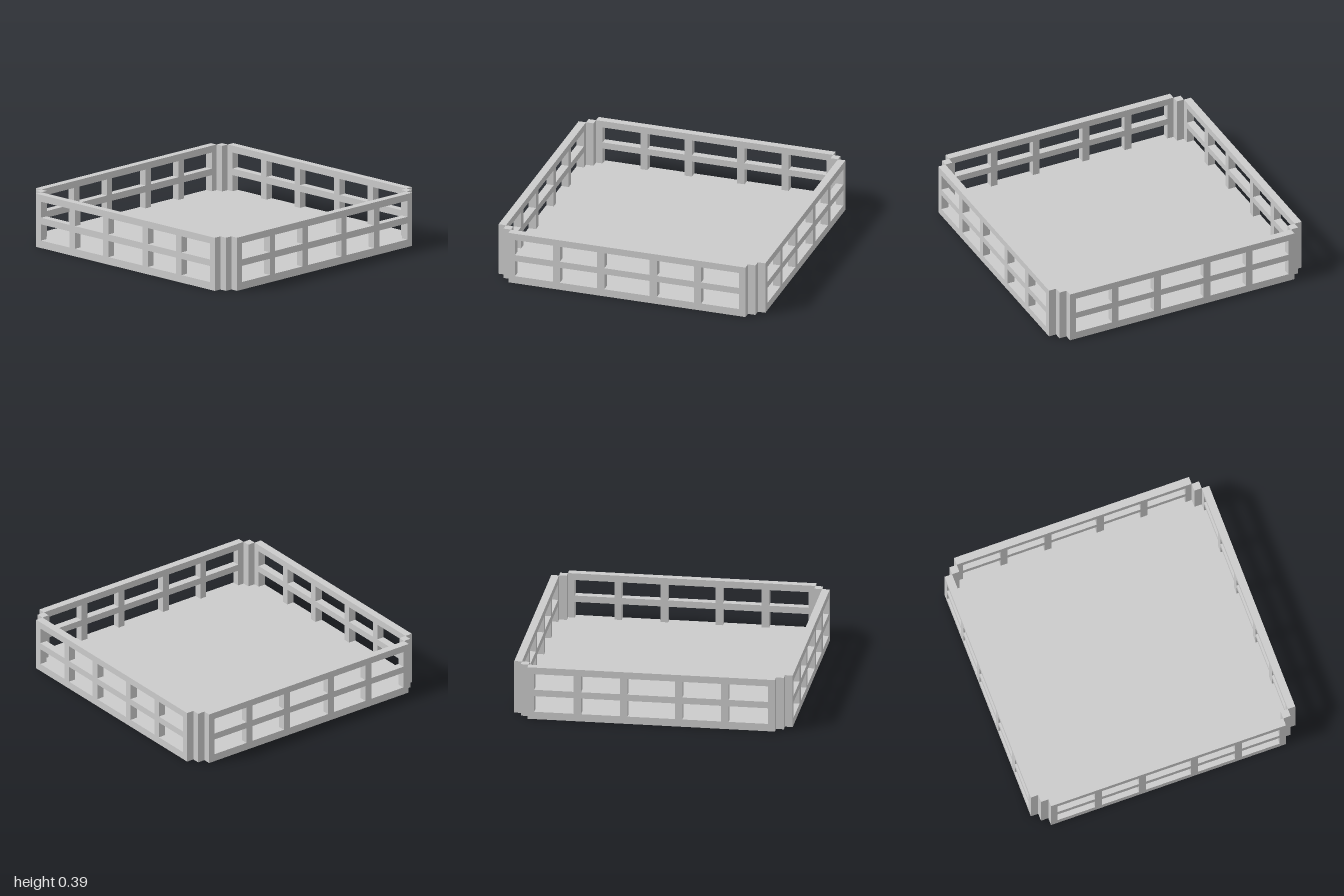
import * as THREE from 'three';

const HEIGHT = 0.39;
const T = 0.0556;          // thickness of walls, floor and corner posts
const HALF = 1 - 2 * T;    // half length of a wall
const INNER = 1 - T;       // inner face of a wall

function rect(target, x0, y0, x1, y1) {
  target.moveTo(x0, y0);
  target.lineTo(x1, y0);
  target.lineTo(x1, y1);
  target.lineTo(x0, y1);
  target.closePath();
  return target;
}

// Flat wall panel with two rows of five openings
function wallGeometry() {
  const shape = rect(new THREE.Shape(), -HALF, 0, HALF, HEIGHT);
  const columns = [[-0.84, -0.556], [-0.503, -0.224], [-0.17, 0.17], [0.224, 0.503], [0.556, 0.84]];
  const rows = [[T, 0.174], [0.222, 0.34]];
  for (const [x0, x1] of columns) {
    for (const [y0, y1] of rows) shape.holes.push(rect(new THREE.Path(), x0, y0, x1, y1));
  }
  return new THREE.ExtrudeGeometry(shape, { depth: T, bevelEnabled: false }).translate(0, 0, INNER);
}

export function createModel() {
  const group = new THREE.Group();
  const material = new THREE.MeshStandardMaterial({ color: 0xcccccc, flatShading: true });
  const add = (name, geometry) => {
    const mesh = new THREE.Mesh(geometry, material);
    mesh.name = name;
    group.add(mesh);
    return mesh;
  };

  // Floor slab, flush with the bottom of the openings
  add('floor', new THREE.BoxGeometry(2 * INNER, T, 2 * INNER).translate(0, T / 2, 0));

  // Four identical walls turned around the centre
  const wall = wallGeometry();
  ['frontWall', 'leftWall', 'backWall', 'rightWall'].forEach((name, i) => {
    add(name, wall).rotation.y = i * Math.PI / 2;
  });

  // Square corner posts standing on the floor, joining the walls edge to edge
  const post = new THREE.BoxGeometry(T, HEIGHT - T, T);
  for (const [sx, side] of [[1, 'Left'], [-1, 'Right']]) {
    for (const [sz, end] of [[1, 'front'], [-1, 'back']]) {
      const c = INNER - T / 2;
      add(`${end}${side}CornerPost`, post).position.set(sx * c, (HEIGHT + T) / 2, sz * c);
    }
  }
  return group;
}
